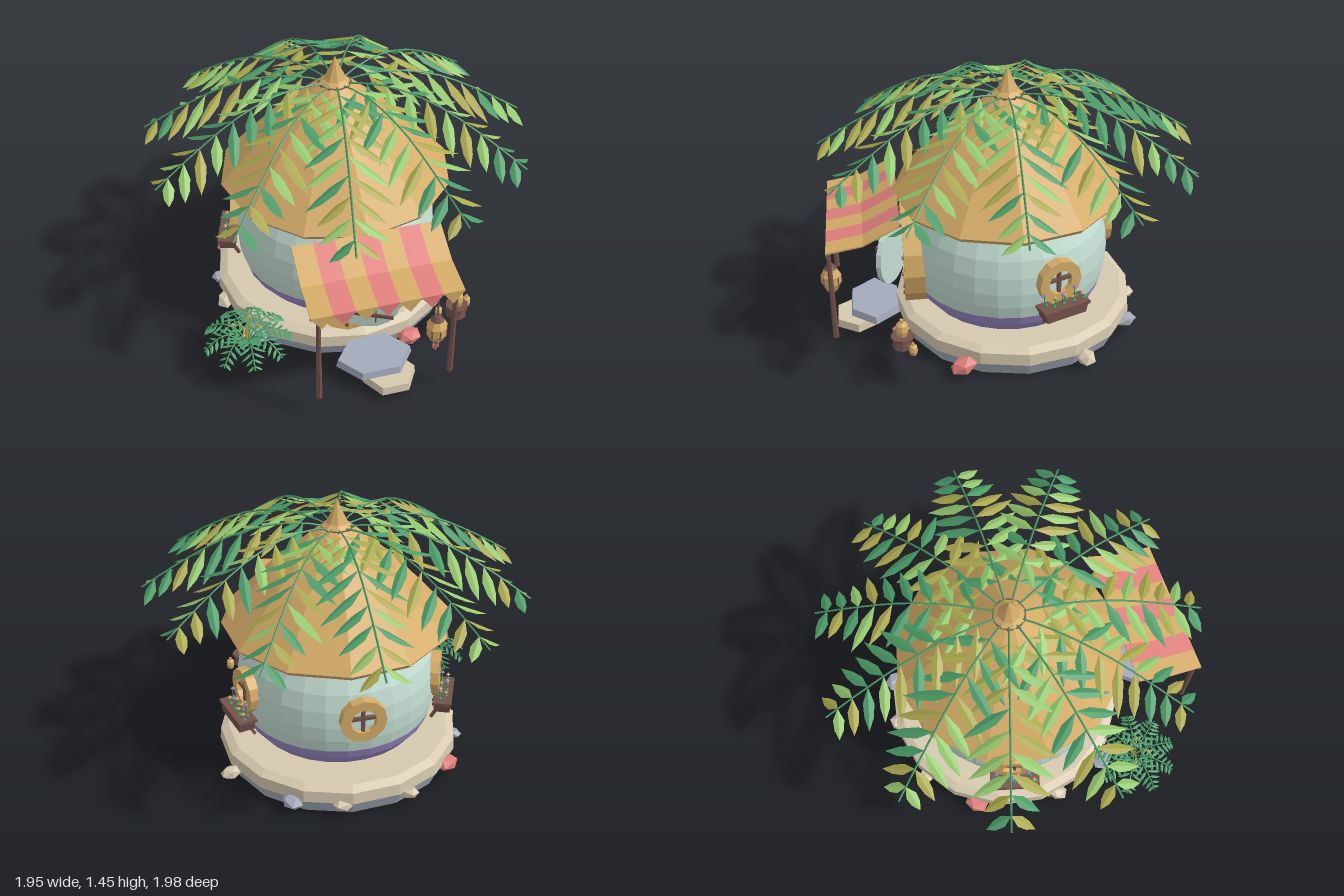
import * as THREE from 'three';

const mat = (name, color, side = THREE.FrontSide) => {
  const m = new THREE.MeshStandardMaterial({ color, side });
  m.name = name;
  return m;
};
const V = (x, y, z) => new THREE.Vector3(x, y, z);

export function createModel() {
  const M = {
    tan: mat('straw tan', 0xd4ab67),
    mint: mat('mint plaster', 0xc4ded2),
    purple: mat('lilac trim', 0x9a87c2),
    brown: mat('dark wood', 0x74524a),
    cream: mat('cream stone', 0xd5c8ae),
    slate: mat('blue slate', 0xa3aaba),
    pink: mat('coral pink', 0xdf7f7c),
    green: mat('deep green', 0x4a9a66, THREE.DoubleSide),
    light: mat('light green', 0x94c86e, THREE.DoubleSide),
    olive: mat('olive leaf', 0xaaa84e, THREE.DoubleSide),
  };
  const root = new THREE.Group();
  root.name = 'roundHut';

  // Helpers: faceted normals, named meshes and simple solids
  const flat = (g) => {
    const f = g.index ? g.toNonIndexed() : g;
    f.computeVertexNormals();
    return f;
  };
  const add = (parent, name, geo, m, x = 0, y = 0, z = 0) => {
    const mesh = new THREE.Mesh(flat(geo), m);
    mesh.name = name;
    mesh.position.set(x, y, z);
    parent.add(mesh);
    return mesh;
  };
  const group = (parent, name, x = 0, y = 0, z = 0) => {
    const g = new THREE.Group();
    g.name = name;
    g.position.set(x, y, z);
    parent.add(g);
    return g;
  };
  const lathe = (pts, n) => new THREE.LatheGeometry(pts.map((p) => new THREE.Vector2(...p)), n);
  const box = (w, h, d) => new THREE.BoxGeometry(w, h, d);
  const cyl = (a, b, h, n = 8) => new THREE.CylinderGeometry(a, b, h, n);
  const disc = (r, d, n = 16) => cyl(r, r, d, n).rotateX(Math.PI / 2);
  const ring = (outer, inner, depth, seg) => {
    const s = new THREE.Shape().absarc(0, 0, outer, 0, Math.PI * 2);
    s.holes.push(new THREE.Path().absarc(0, 0, inner, 0, Math.PI * 2, true));
    return new THREE.ExtrudeGeometry(s, { depth, bevelEnabled: false, curveSegments: seg });
  };

  // Stone platform
  add(root, 'platformBase', lathe([[0, 0], [0.61, 0], [0.64, 0.08]], 16), M.slate, -0.03, 0, -0.03);
  add(root, 'platformTop', lathe([[0.635, 0.08], [0.648, 0.082], [0.642, 0.145], [0.6, 0.168], [0, 0.168]], 16), M.cream, -0.03, 0, -0.03);

  // Round walls, eave ring, thatched roof and finial
  const house = group(root, 'house', -0.025, 0, 0);
  add(house, 'wallSkirt', lathe([[0, 0.165], [0.44, 0.165], [0.495, 0.235], [0.512, 0.288]], 28), M.purple);
  add(house, 'wall', lathe([[0.512, 0.288], [0.527, 0.36], [0.532, 0.44], [0.525, 0.53], [0.503, 0.62], [0.455, 0.72]], 28), M.mint);
  add(house, 'eaveRing', lathe([[0.44, 0.715], [0.462, 0.715], [0.462, 0.765]], 20), M.brown);
  add(house, 'roof', lathe([[0.42, 0.765], [0.585, 0.765], [0.603, 0.79], [0.36, 1.05], [0.08, 1.305], [0, 1.31]], 12), M.tan);
  add(house, 'finialCollar', lathe([[0, 1.285], [0.085, 1.285], [0.085, 1.305], [0, 1.31]], 10), M.brown);
  add(house, 'finial', lathe([[0.08, 1.305], [0.056, 1.325], [0.034, 1.37], [0.014, 1.415], [0, 1.45]], 8), M.tan);

  // Round doorway with bolts and a door standing ajar
  const doorway = group(house, 'doorway', -0.007, 0.412, 0);
  add(doorway, 'doorFrame', ring(0.268, 0.188, 0.137, 7), M.tan, 0, 0, 0.43);
  add(doorway, 'doorOpening', disc(0.195, 0.02), M.cream, 0, 0, 0.53);
  for (let i = 0; i < 8; i++) {
    const a = ((i + 0.5) / 8) * Math.PI * 2;
    add(doorway, 'frameBolt', disc(0.011, 0.014, 6), M.brown, Math.cos(a) * 0.228, Math.sin(a) * 0.228, 0.569);
  }
  const door = group(doorway, 'door', -0.172, 0, 0.54);
  door.rotation.y = -0.46;
  add(door, 'doorPanel', disc(0.18, 0.028), M.mint, 0.18, 0, 0);
  for (const s of [-1, 1]) add(door, 'doorBar', box(0.3, 0.018, 0.014), M.brown, 0.18, s * 0.09, 0.018);
  for (const x of [-0.09, 0.06]) add(door, 'doorSeam', box(0.006, 0.28, 0.004), M.brown, 0.18 + x, 0, 0.015);
  add(door, 'doorKnobPlate', disc(0.033, 0.016, 8), M.brown, 0.18, -0.02, 0.022);
  add(door, 'doorKnob', disc(0.021, 0.03, 8), M.tan, 0.18, -0.02, 0.03);

  // Round windows; two of them carry flower boxes
  const windows = [[Math.PI / 2 + 0.37, true], [-Math.PI / 2 - 0.28, true], [Math.PI + 0.13, false]];
  for (const [angle, hasBox] of windows) {
    const w = group(house, 'window', 0, 0.49, 0);
    w.rotation.y = angle;
    add(w, 'windowFrame', ring(0.12, 0.067, 0.07, 6), M.tan, 0, 0, 0.485);
    add(w, 'windowBarUpright', box(0.016, 0.14, 0.02), M.brown, 0, 0, 0.535);
    add(w, 'windowBarCross', box(0.14, 0.016, 0.02), M.brown, 0, 0.01, 0.535);
    if (!hasBox) continue;
    const b = group(w, 'flowerBox', 0, -0.142, 0.58);
    const tub = box(0.25, 0.06, 0.085);
    const p = tub.attributes.position;
    for (let i = 0; i < p.count; i++) if (p.getY(i) < 0) p.setX(i, p.getX(i) * 0.9);
    add(b, 'boxTub', tub, M.brown);
    add(b, 'boxRim', box(0.265, 0.016, 0.1), M.brown, 0, 0.027, 0);
    for (const s of [-1, 1]) {
      add(b, 'boxBracket', box(0.016, 0.09, 0.016), M.brown, s * 0.075, -0.05, -0.035).rotation.x = 0.5;
    }
    for (let i = 0; i < 8; i++) {
      const x = -0.1 + i * 0.029, tall = i % 3 === 0, h = tall ? 0.065 : 0.035, z = (i % 2) * 0.03 - 0.015;
      add(b, 'flowerStem', cyl(0.003, 0.003, h, 4), M.green, x, 0.03 + h / 2, z);
      add(b, 'flowerLeaf', new THREE.OctahedronGeometry(0.013), M.green, x + 0.01, 0.042, z);
      add(b, 'flower', new THREE.OctahedronGeometry(0.013), tall ? M.purple : M.tan, x, 0.035 + h, z);
    }
  }

  // Striped awning with a pointed valance on two posts
  const awning = group(root, 'awning');
  const stripe = 0.1065, fold = [[0.58, 0.795], [0.765, 0.697], [0.95, 0.665]];
  const section = new THREE.Shape([...fold, ...fold.map(([z, y]) => [z, y - 0.009]).reverse()].map(([z, y]) => new THREE.Vector2(-z, y)));
  for (let i = 0; i < 7; i++) {
    const x = -0.4 + i * stripe, m = i % 2 ? M.pink : M.tan;
    add(awning, 'awningStripe', new THREE.ExtrudeGeometry(section, { depth: stripe, bevelEnabled: false }).rotateY(Math.PI / 2), m, x);
    const flag = new THREE.Shape([[0, 0.66], [stripe / 2, 0.592], [stripe, 0.66]].map((q) => new THREE.Vector2(...q)));
    add(awning, 'valanceFlag', new THREE.ExtrudeGeometry(flag, { depth: 0.007, bevelEnabled: false }), m, x, 0, 0.943);
  }
  add(awning, 'awningRod', cyl(0.007, 0.007, 0.75, 6).rotateZ(Math.PI / 2), M.brown, -0.027, 0.652, 0.938);
  for (const x of [-0.363, 0.305]) add(awning, 'awningPost', cyl(0.011, 0.016, 0.53, 6), M.brown, x, 0.395, 0.938);

  // Hanging lantern with tassels
  const lantern = group(root, 'lantern', 0.22, 0.435, 0.94);
  add(lantern, 'lanternBody', lathe([[0, -0.065], [0.03, -0.065], [0.052, -0.02], [0.052, 0.025], [0.03, 0.065], [0, 0.065]], 8), M.tan);
  add(lantern, 'lanternCap', cyl(0.016, 0.034, 0.025, 8), M.brown, 0, 0.075, 0);
  add(lantern, 'lanternBase', cyl(0.034, 0.02, 0.018, 8), M.brown, 0, -0.07, 0);
  add(lantern, 'lanternCord', cyl(0.004, 0.004, 0.15, 5), M.brown, 0, 0.155, 0);
  for (let i = 0; i < 8; i++) {
    const a = (i * Math.PI) / 4;
    add(lantern, 'lanternRib', box(0.006, 0.05, 0.006), M.brown, Math.sin(a) * 0.051, 0, Math.cos(a) * 0.051);
  }
  for (const x of [-0.012, 0, 0.012]) add(lantern, 'tassel', cyl(0.004, 0.006, 0.06, 4), M.pink, x, -0.105 + Math.abs(x), 0);

  // Stepping slabs
  add(root, 'upperStep', cyl(0.19, 0.2, 0.04, 6).rotateY(Math.PI / 6).scale(1.0, 1, 0.74), M.slate, -0.022, 0.11, 0.73);
  add(root, 'lowerStep', cyl(0.12, 0.125, 0.045, 6).rotateY(Math.PI / 6).scale(1.1, 1, 1.03), M.cream, 0.03, 0.063, 0.825);

  // Stool with mugs beside the path
  const mug = (x, y, z, s) => {
    const g = group(root, 'mug', x, y, z);
    g.scale.setScalar(s);
    add(g, 'mugBody', lathe([[0, 0], [0.026, 0], [0.032, 0.03], [0.026, 0.065], [0, 0.065]], 8), M.tan);
    add(g, 'mugLid', cyl(0.016, 0.03, 0.014, 8), M.tan, 0, 0.072, 0);
    add(g, 'mugKnob', cyl(0.01, 0.012, 0.018, 6), M.tan, 0, 0.087, 0);
  };
  add(root, 'stoolFoot', cyl(0.045, 0.055, 0.05), M.brown, 0.465, 0.185, 0.6);
  add(root, 'stoolTop', cyl(0.06, 0.06, 0.018), M.brown, 0.465, 0.217, 0.6);
  mug(0.465, 0.226, 0.6, 1);
  mug(0.375, 0.16, 0.58, 0.6);
  mug(0.54, 0.16, 0.55, 0.7);

  // Loose rocks round the platform
  const rocks = [
    [0.21, 0.6, 0.06, 'pink'], [0.55, 0.3, 0.07, 'pink'], [0.57, -0.33, 0.056, 'cream'], [0.27, -0.6, 0.06, 'slate'],
    [0.02, -0.66, 0.05, 'cream'], [-0.33, -0.6, 0.05, 'cream'], [-0.57, -0.38, 0.063, 'pink'], [-0.66, -0.12, 0.045, 'slate'],
    [-0.66, 0.07, 0.055, 'cream'], [-0.56, 0.37, 0.07, 'slate'],
  ];
  rocks.forEach(([x, z, r, c], i) => {
    const rock = add(root, 'rock', new THREE.IcosahedronGeometry(r, 0).scale(1.1, 0.62, 0.9), M[c], x, 0.068, z);
    rock.rotation.set(0.2, i * 1.7, 0.15);
  });

  // Feathered fronds: a curved stem with paired, folded, lens-shaped leaflets
  const leafMats = [M.green, M.light, M.olive];
  let seed = 7;
  const rand = () => (seed = (seed * 16807) % 2147483647) / 2147483647;
  const fronds = (parent, count, turn, profile, o) => {
    const faces = leafMats.map(() => []);
    for (let i = 0; i < count; i++) {
      const a = turn + (i * Math.PI * 2) / count;
      const out = V(Math.cos(a), 0, Math.sin(a)), side = V(-out.z, 0, out.x);
      const curve = new THREE.CatmullRomCurve3(profile.map(([r, y]) => V(out.x * r, y, out.z * r)));
      add(parent, 'frondStem', new THREE.TubeGeometry(curve, 10, o.stem, 4), M.green);
      for (let k = 0; k < o.pairs; k++) {
        const t = o.from + ((0.92 - o.from) * k) / (o.pairs - 1);
        const p = curve.getPointAt(t), tan = curve.getTangentAt(t);
        const len = o.len * (t < 0.6 ? 1 : 1 - (t - 0.6) * 1.3) * (0.9 + rand() * 0.2);
        for (const s of [-1, 1]) {
          const d = tan.clone().multiplyScalar(0.45).addScaledVector(side, s * 0.87);
          d.y -= o.droop * (0.7 + rand() * 0.6);
          d.normalize();
          const across = V(0, 1, 0).cross(d).normalize();
          const at = (f, w, drop) => p.clone().addScaledVector(d, len * f).addScaledVector(across, w * o.wid).add(V(0, -drop * o.wid, 0));
          const tip = at(1, 0, 0), r1 = at(0.35, 0, 0), r2 = at(0.68, 0, 0);
          const list = faces[Math.floor(rand() * o.colours)];
          for (const w of [-1, 1]) {
            const e1 = at(0.35, w * 0.5, 0.2), e2 = at(0.68, w * 0.4, 0.16);
            const strip = [p, e1, r1, r1, e1, e2, r1, e2, r2, r2, e2, tip];
            if (w < 0) strip.reverse();
            for (const v of strip) list.push(v.x, v.y, v.z);
          }
        }
      }
    }
    faces.forEach((f, i) => {
      if (!f.length) return;
      const g = new THREE.BufferGeometry();
      g.setAttribute('position', new THREE.Float32BufferAttribute(f, 3));
      add(parent, 'leaflets', g, leafMats[i]);
    });
  };

  // Palm crown over the roof
  const crown = group(root, 'palmCrown', -0.02, 0, 0);
  fronds(crown, 11, 0.035, [[0.03, 1.3], [0.15, 1.322], [0.3, 1.325], [0.52, 1.27], [0.76, 1.145], [0.985, 1.0]],
    { stem: 0.005, pairs: 9, from: 0.13, len: 0.26, wid: 0.056, droop: 0.32, colours: 3 });

  // Fern beside the platform with pale buds
  const fern = group(root, 'fern', -0.63, 0.165, 0.53);
  fronds(fern, 9, 0.2, [[0, 0], [0.05, 0.08], [0.12, 0.105], [0.18, 0.08], [0.225, 0.035]],
    { stem: 0.004, pairs: 7, from: 0.25, len: 0.075, wid: 0.017, droop: 0.2, colours: 1 });
  for (let i = 0; i < 4; i++) {
    const a = i * 1.57 + 0.4, x = Math.cos(a), z = Math.sin(a);
    const stalk = new THREE.CatmullRomCurve3([V(0, 0, 0), V(x * 0.02, 0.11, z * 0.02), V(x * 0.05, 0.15, z * 0.05), V(x * 0.07, 0.13, z * 0.07)]);
    add(fern, 'budStalk', new THREE.TubeGeometry(stalk, 6, 0.004, 4), M.olive);
    add(fern, 'bud', new THREE.OctahedronGeometry(0.012), M.tan, x * 0.07, 0.125, z * 0.07);
  }
  return root;
}
